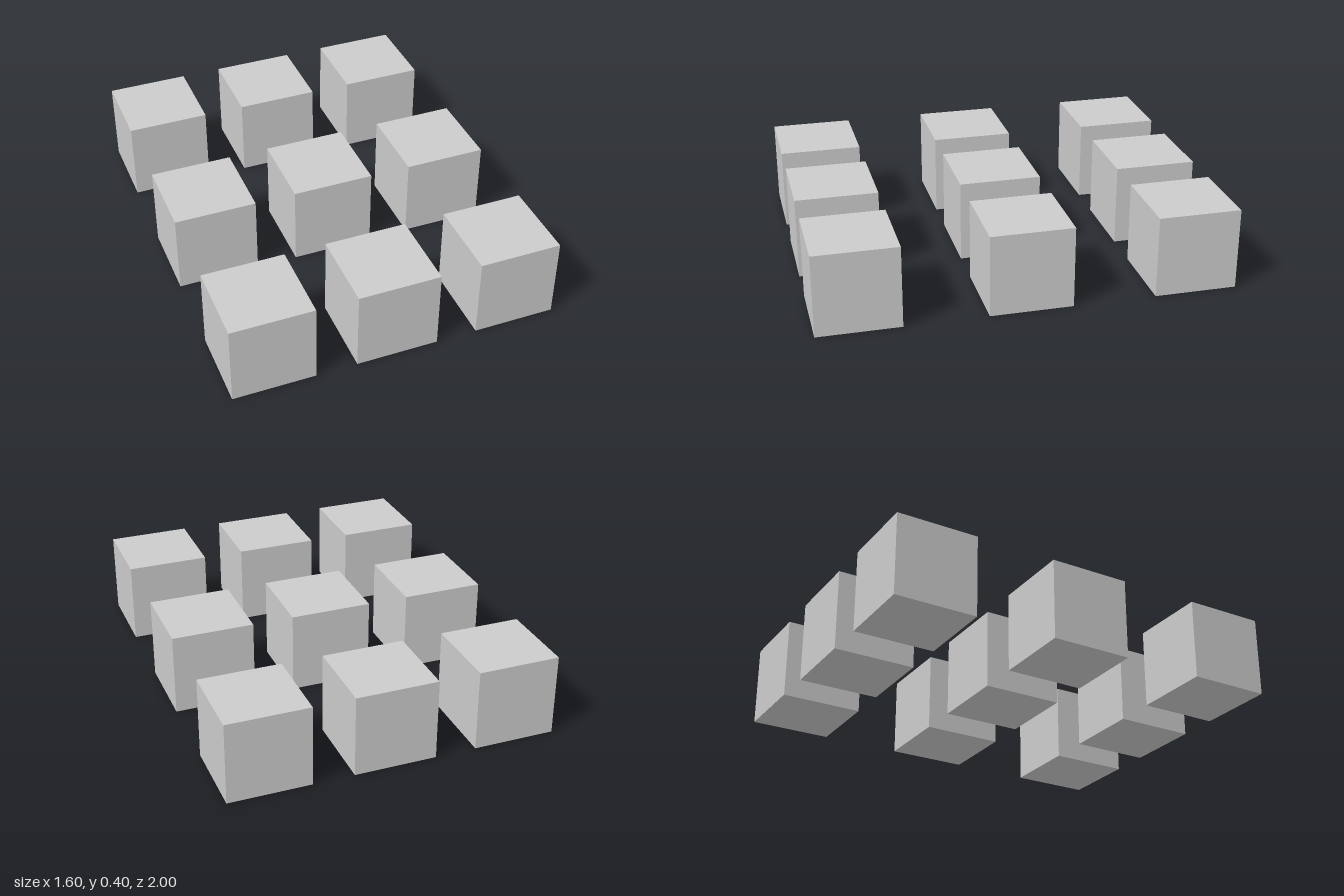
import * as THREE from 'three';

const SIZE = 0.4;      // cube edge
const STEP_X = 0.6;    // column spacing
const STEP_Z = 0.8;    // row spacing

export function createModel() {
  const model = new THREE.Group();
  model.name = 'cubeGrid';

  const geometry = new THREE.BoxGeometry(SIZE, SIZE, SIZE);
  const material = new THREE.MeshStandardMaterial({ color: 0xcccccc });

  // Three rows of three cubes standing on the ground
  for (let row = -1; row <= 1; row++) {
    for (let column = -1; column <= 1; column++) {
      const cube = new THREE.Mesh(geometry, material);
      cube.name = `cubeRow${row + 2}Column${column + 2}`;
      cube.position.set(column * STEP_X, SIZE / 2, row * STEP_Z);
      model.add(cube);
    }
  }
  return model;
}
